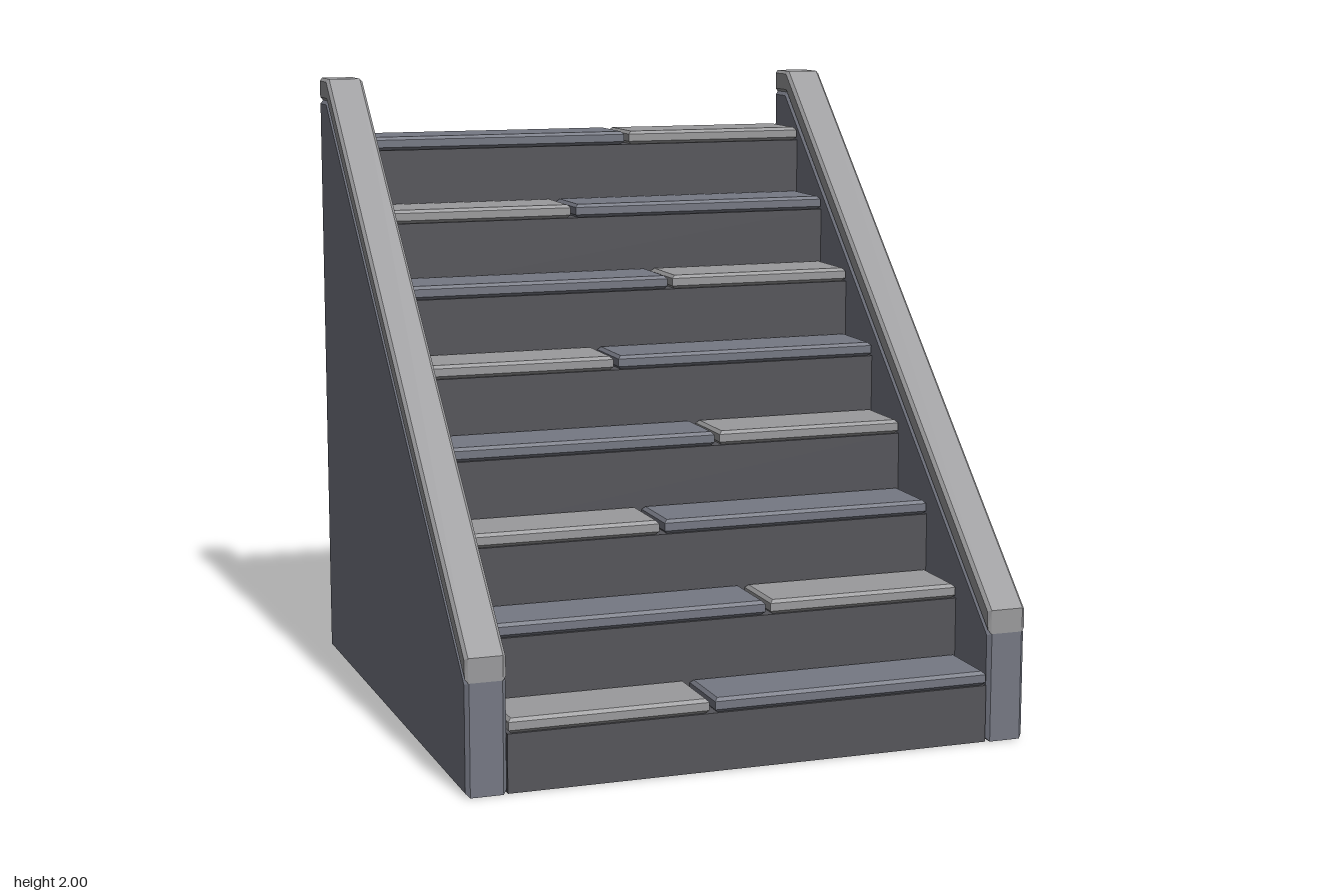
import * as THREE from 'three';

const STEPS = 8;
const RISE = 0.226;
const RUN = 0.225;
const SLAB = 0.045;   // tread slab thickness
const BEVEL = 0.01;

const lightStone = new THREE.MeshStandardMaterial({ name: 'lightStone', color: 0x9a9a9c });
const slateStone = new THREE.MeshStandardMaterial({ name: 'slateStone', color: 0x757883 });
const darkStone = new THREE.MeshStandardMaterial({ name: 'darkStone', color: 0x55555a });

// Extrudes an outline to an exact thickness, centred, with chamfered rims
function chamferedPlate(points, thickness, bevel) {
  const shape = new THREE.Shape(points.map(([a, b]) => new THREE.Vector2(a, b)));
  const depth = thickness - 2 * bevel;
  return new THREE.ExtrudeGeometry(shape, {
    depth,
    bevelEnabled: bevel > 0,
    bevelSize: bevel,
    bevelThickness: bevel,
    bevelOffset: -bevel,
    bevelSegments: 1,
  }).translate(0, 0, -depth / 2);
}

// Side profile given as [z, y], extruded across x
function sideProfile(points, width, bevel) {
  return chamferedPlate(points, width, bevel).rotateY(-Math.PI / 2);
}

// Flat slab with chamfered edges
function slab(width, height, depth) {
  const w = width / 2, d = depth / 2;
  return chamferedPlate([[-w, -d], [w, -d], [w, d], [-w, d]], height, BEVEL).rotateX(-Math.PI / 2);
}

export function createModel() {
  const model = new THREE.Group();
  model.name = 'staircase';

  const add = (name, geometry, material, x = 0, y = 0, z = 0) => {
    const mesh = new THREE.Mesh(geometry, material);
    mesh.name = name;
    mesh.position.set(x, y, z);
    model.add(mesh);
  };

  // Solid stepped core under the treads
  const outline = [[-0.895, 0], [0.895, 0]];
  for (let i = 0; i < STEPS; i++) {
    const front = 0.895 - i * RUN;
    const top = (i + 1) * RISE - SLAB;
    outline.push([front, top], [i === STEPS - 1 ? -0.895 : front - RUN, top]);
  }
  add('steppedCore', sideProfile(outline, 1.546, 0), darkStone);

  // Two slabs per tread, with the seam and colours alternating
  for (let i = 0; i < STEPS; i++) {
    const even = i % 2 === 0;
    const seam = even ? -0.135 : 0.132;
    const y = (i + 1) * RISE - SLAB / 2;
    const z = 0.897 - (i + 0.5) * RUN;
    const spans = [[-0.77, seam - 0.009], [seam + 0.009, 0.77]];
    spans.forEach(([a, b], side) => {
      const isLight = even === (side === 0);
      add(isLight ? 'lightTread' : 'slateTread', slab(b - a, SLAB, RUN - 0.002),
        isLight ? lightStone : slateStone, (a + b) / 2, y, z);
    });
  }

  // Side walls with sloping coping rails
  const wall = [[0.9, 0], [0.9, 0.345], [-0.795, 1.925], [-0.9, 1.925], [-0.9, 0]];
  const rail = [[0.9, 0.345], [0.9, 0.42], [-0.79, 2], [-0.9, 2], [-0.9, 1.925], [-0.795, 1.925]];
  for (const [side, x] of [['left', 0.8375], ['right', -0.8375]]) {
    add(side + 'Wall', sideProfile(wall, 0.125, 0.012), slateStone, x);
    add(side + 'Rail', sideProfile(rail, 0.125, 0.01), lightStone, x);
  }

  return model;
}
